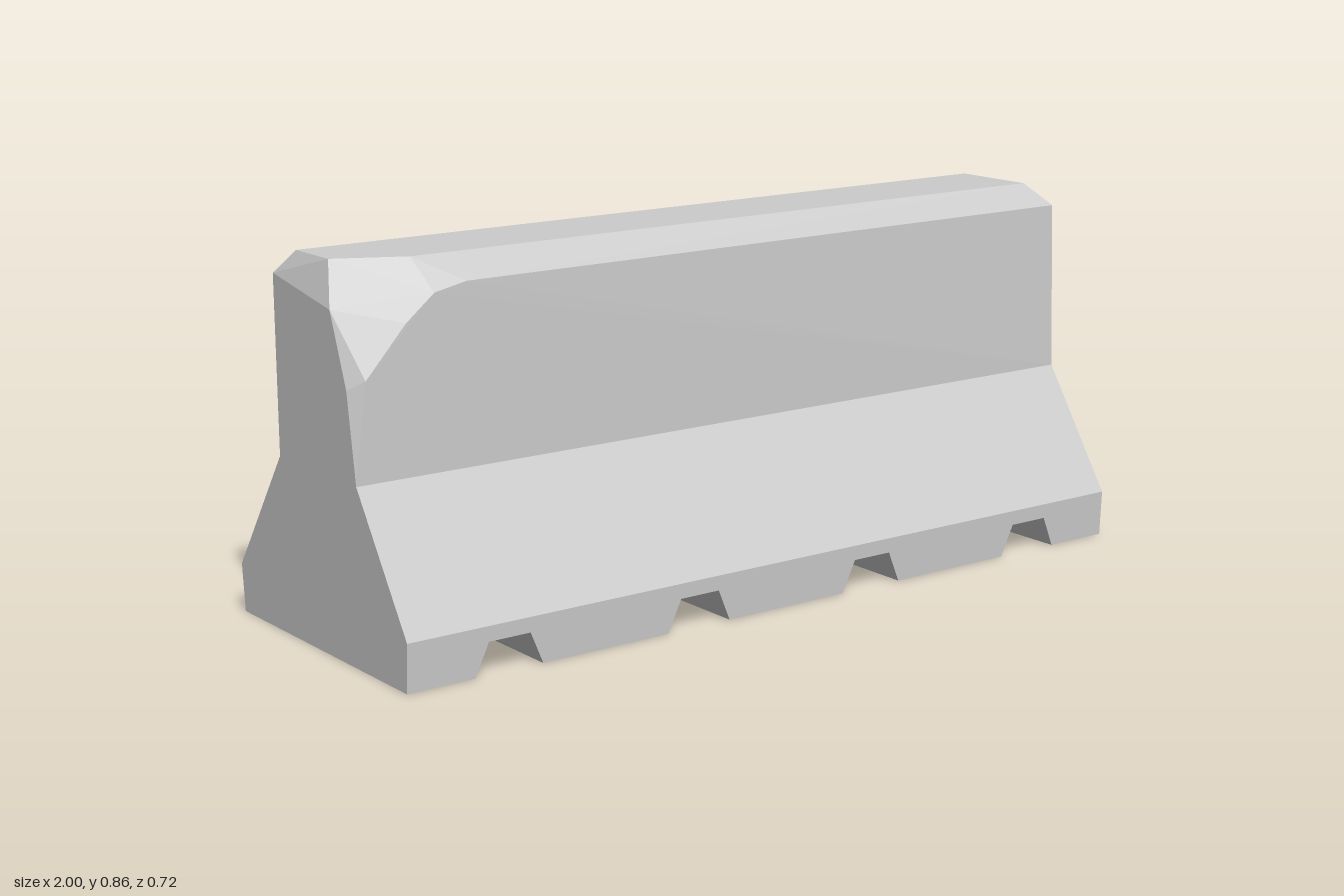
import * as THREE from 'three';
import { ConvexGeometry } from 'three/addons/geometries/ConvexGeometry.js';

const material = new THREE.MeshStandardMaterial({ color: 0xcccccc, flatShading: true });

function addPart(group, name, geometry) {
  const mesh = new THREE.Mesh(geometry, material);
  mesh.name = name;
  group.add(mesh);
}

const hull = (points) => new ConvexGeometry(points.map((p) => new THREE.Vector3(...p)));

// Foot: side outline with four drainage notches, extruded through the depth
function footGeometry() {
  const top = 0.11;
  const shape = new THREE.Shape();
  shape.moveTo(-1, 0);
  for (const x of [-0.75, -0.25, 0.25, 0.75]) {
    shape.lineTo(x - 0.085, 0);
    shape.lineTo(x - 0.052, 0.075);
    shape.lineTo(x + 0.052, 0.075);
    shape.lineTo(x + 0.085, 0);
  }
  shape.lineTo(1, 0);
  shape.lineTo(1, top);
  shape.lineTo(-1, top);
  shape.closePath();
  const geometry = new THREE.ExtrudeGeometry(shape, { depth: 1, bevelEnabled: false });

  // The long faces lean slightly inward towards the ground
  const pos = geometry.attributes.position;
  for (let i = 0; i < pos.count; i++) {
    const t = pos.getY(i) / top;
    const z = pos.getZ(i) > 0.5 ? 0.356 + 0.005 * t : -0.351 - 0.01 * t;
    pos.setZ(i, z);
  }
  geometry.computeVertexNormals();
  return geometry;
}

// Sloped skirt between the wide foot and the narrow wall
function skirtGeometry() {
  const points = [];
  for (const x of [-1, 1]) {
    points.push([x, 0.11, 0.361], [x, 0.11, -0.361], [x, 0.4, 0.17], [x, 0.4, -0.16]);
  }
  return hull(points);
}

// Upright wall with chamfered top and a broken front right corner
function wallGeometry() {
  return hull([
    // bottom
    [-1, 0.4, 0.17], [1, 0.4, 0.17], [1, 0.4, -0.16], [-1, 0.4, -0.16],
    // shoulders below the chamfer
    [1, 0.803, 0.156], [1, 0.803, -0.163], [-1, 0.803, -0.163],
    // top face
    [0.947, 0.857, 0.107], [0.947, 0.857, -0.108], [-0.972, 0.857, -0.108],
    // broken corner
    [-0.972, 0.857, 0.03], [-0.82, 0.857, 0.105], [-0.71, 0.857, 0.107],
    [-0.72, 0.803, 0.167], [-0.8, 0.787, 0.168], [-0.87, 0.73, 0.168],
    [-0.97, 0.62, 0.169], [-1, 0.76, 0.08], [-1, 0.6, 0.14],
  ]);
}

export function createModel() {
  const group = new THREE.Group();
  group.name = 'concreteBarrier';
  addPart(group, 'notchedFoot', footGeometry());
  addPart(group, 'slopedSkirt', skirtGeometry());
  addPart(group, 'upperWall', wallGeometry());
  return group;
}
